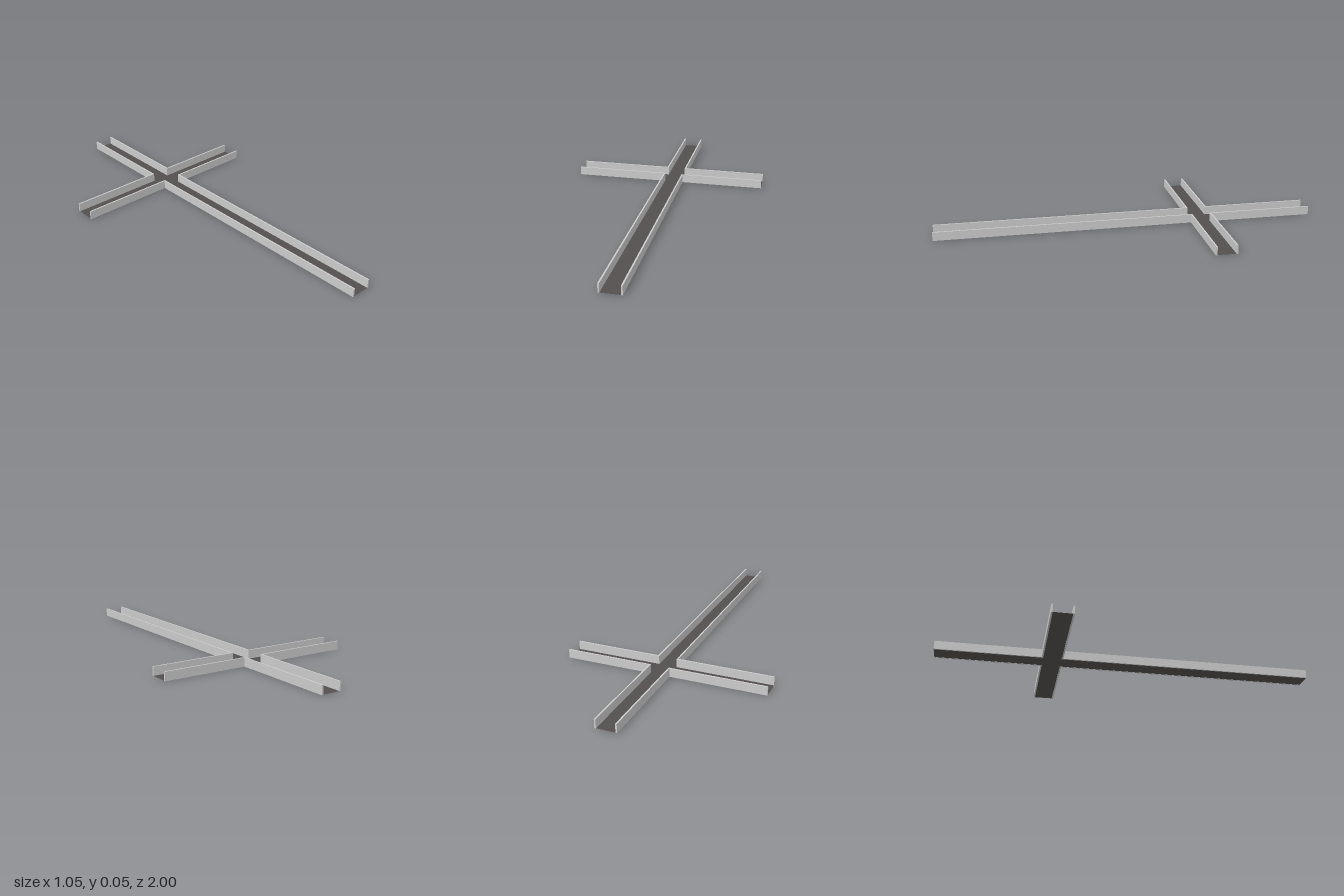
import * as THREE from 'three';

// Cross-shaped open channel: thin floor with upright walls along every arm
const H = 0.045, T = 0.008;                    // wall height and thickness
const X0 = -0.525, X1 = 0.525, Z0 = -1, Z1 = 1; // arm ends
const CX0 = -0.03, CX1 = 0.08;                 // outer sides of the long channel
const CZ0 = -0.452, CZ1 = -0.34;               // outer sides of the cross channel

export function createModel() {
  const group = new THREE.Group();
  const wallMat = new THREE.MeshStandardMaterial({ color: 0xcccccc });
  const floorMat = new THREE.MeshStandardMaterial({ color: 0x554f4f, side: THREE.DoubleSide });

  const wall = (name, xa, xb, za, zb) => {
    const mesh = new THREE.Mesh(new THREE.BoxGeometry(xb - xa, H, zb - za), wallMat);
    mesh.position.set((xa + xb) / 2, H / 2, (za + zb) / 2);
    mesh.name = name;
    group.add(mesh);
  };

  // Walls of the long channel, interrupted at the crossing
  for (const [side, x] of [['right', CX0], ['left', CX1 - T]]) {
    wall(side + 'BackWall', x, x + T, Z0, CZ0 + T);
    wall(side + 'FrontWall', x, x + T, CZ1 - T, Z1);
  }
  // Walls of the cross channel, butting against the long walls
  for (const [side, z] of [['back', CZ0], ['front', CZ1 - T]]) {
    wall(side + 'RightArmWall', X0, CX0, z, z + T);
    wall(side + 'LeftArmWall', CX1, X1, z, z + T);
  }

  // One flat cross-shaped floor between the walls (shape y becomes -z)
  const a = CX0 + T, b = CX1 - T, c = CZ0 + T, d = CZ1 - T;
  const outline = [
    [a, Z1], [b, Z1], [b, d], [X1, d], [X1, c], [b, c],
    [b, Z0], [a, Z0], [a, c], [X0, c], [X0, d], [a, d],
  ].map(([x, z]) => new THREE.Vector2(x, -z));
  const floor = new THREE.Mesh(
    new THREE.ShapeGeometry(new THREE.Shape(outline)).rotateX(-Math.PI / 2), floorMat);
  floor.position.y = 0.001;
  floor.name = 'floor';
  group.add(floor);
  return group;
}
